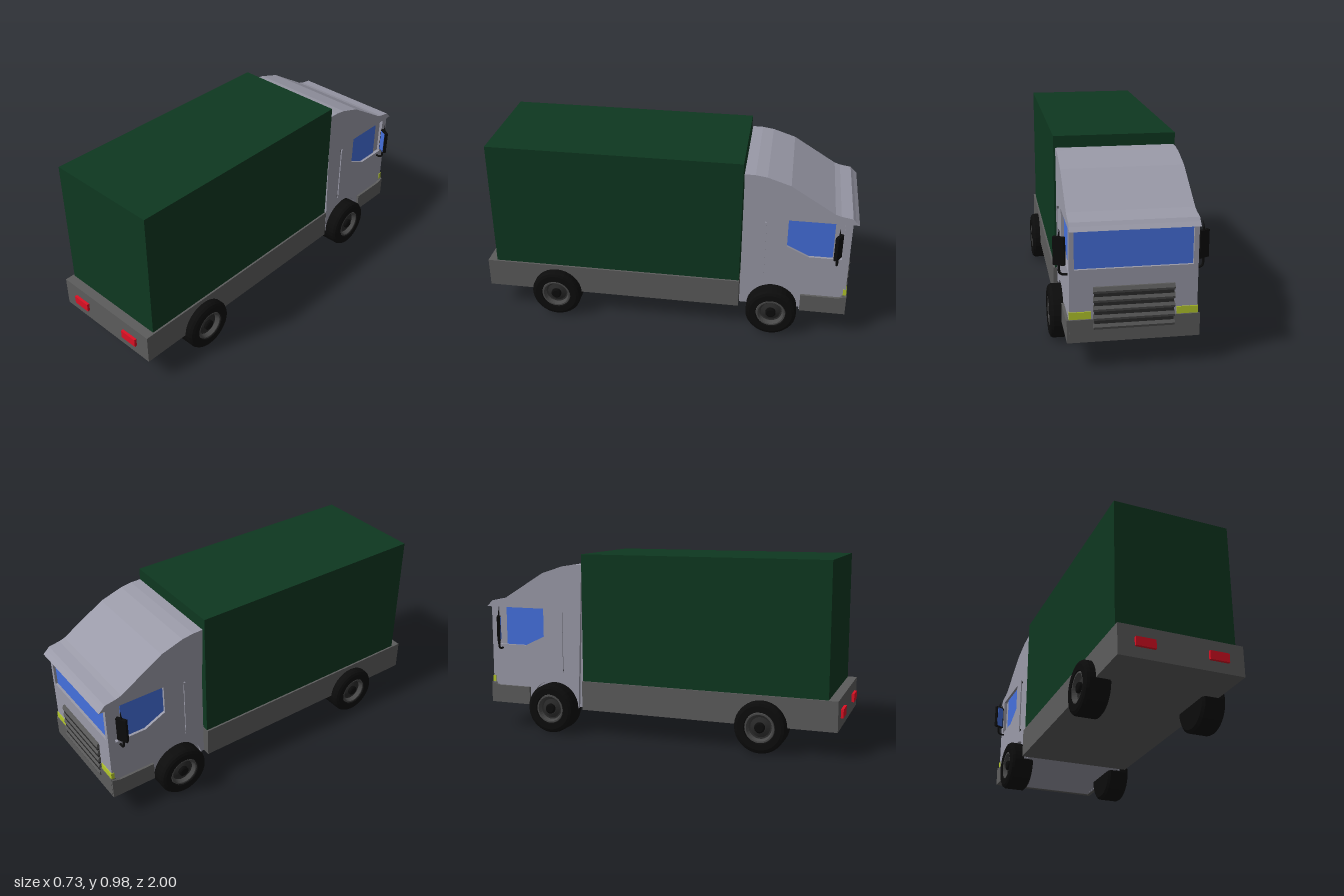
import * as THREE from 'three';

const paint = (color) => new THREE.MeshStandardMaterial({ color });
const MAT = {
  cab: paint(0x9a9aa8), frame: paint(0x5c5c5c), cargo: paint(0x0e3820), glass: paint(0x4570dd),
  red: paint(0xdd1024), lamp: paint(0xb4c82c), black: paint(0x0c0c0c), rim: paint(0x484848),
  dark: paint(0x2a2a2a),
};
for (const m of Object.values(MAT)) m.flatShading = true;

function add(parent, name, geometry, material) {
  const mesh = new THREE.Mesh(geometry, material);
  mesh.name = name;
  parent.add(mesh);
  return mesh;
}

// Box given by its limits on each axis
function box(parent, name, [x0, x1], [y0, y1], [z0, z1], material) {
  const g = new THREE.BoxGeometry(x1 - x0, y1 - y0, z1 - z0);
  g.translate((x0 + x1) / 2, (y0 + y1) / 2, (z0 + z1) / 2);
  return add(parent, name, g, material);
}

// Side-view shape (forward, up), extruded across the truck from x0 to x1
function slab(parent, name, shape, x0, x1, material) {
  const g = new THREE.ExtrudeGeometry(shape, { depth: x1 - x0, bevelEnabled: false, curveSegments: 20 });
  g.rotateY(Math.PI / 2).translate(x0, 0, 0);
  return add(parent, name, g, material);
}

const polygon = (pts) => new THREE.Shape(pts.map(([a, b]) => new THREE.Vector2(a, b)));

const ROOF = [[0.405, 0.925], [0.46, 0.924], [0.52, 0.915], [0.64, 0.876], [0.76, 0.802],
  [0.87, 0.734], [0.9, 0.724], [0.96, 0.714], [0.975, 0.698], [0.995, 0.68]];
const FRONT_WHEEL = 0.58, REAR_WHEEL = -0.6, WHEEL_Y = 0.137;

// Cab outline with the front wall at the given position
function cabShape(front, arch) {
  const s = new THREE.Shape();
  s.moveTo(0.405, 0.14);
  if (arch) s.absarc(FRONT_WHEEL, WHEEL_Y, 0.146, Math.PI, 0, true);
  s.lineTo(front, 0.14);
  s.lineTo(front, 0.68);
  [...ROOF].reverse().forEach(([f, y]) => s.lineTo(f, y));
  s.closePath();
  return s;
}

function makeCab() {
  const cab = new THREE.Group();
  cab.name = 'cab';
  slab(cab, 'cabCore', cabShape(0.945, false), -0.28, 0.28, MAT.cab);

  // Front wall around the recessed windscreen
  const front = polygon([[-0.28, 0.14], [0.28, 0.14], [0.28, 0.68], [-0.28, 0.68]]);
  front.holes.push(polygon([[-0.275, 0.49], [-0.275, 0.672], [0.275, 0.672], [0.275, 0.49]]));
  const wall = new THREE.ExtrudeGeometry(front, { depth: 0.019, bevelEnabled: false });
  add(cab, 'frontPanel', wall.translate(0, 0, -0.963), MAT.cab);
  box(cab, 'windscreen', [-0.277, 0.277], [0.488, 0.674], [-0.95, -0.944], MAT.glass);

  for (const s of [-1, 1]) {
    const span = (a, b) => (s > 0 ? [a, b] : [-b, -a]);

    // Side wall with wheel arch and window opening
    const side = cabShape(0.963, true);
    side.holes.push(polygon([[0.64, 0.68], [0.925, 0.68], [0.925, 0.47], [0.755, 0.47], [0.64, 0.525]]));
    slab(cab, 'sidePanel', side, ...span(0.28, 0.298), MAT.cab);
    const pane = polygon([[0.64, 0.68], [0.878, 0.68], [0.878, 0.47], [0.755, 0.47], [0.64, 0.525]]);
    slab(cab, 'sideWindow', pane, ...span(0.279, 0.284), MAT.glass);

    // Upright grab rail on two short stubs
    box(cab, 'grabRail', span(0.303, 0.309), [0.335, 0.665], [-0.53, -0.52], MAT.cab);
    for (const y of [0.345, 0.655]) {
      box(cab, 'railMount', span(0.29, 0.304), [y - 0.005, y + 0.005], [-0.529, -0.521], MAT.dark);
    }

    // Bumper ends and headlamps
    const end = polygon([[0.73, 0.138], [0.97, 0.138], [0.97, 0.25], [0.925, 0.236], [0.73, 0.236]]);
    slab(cab, 'bumperEnd', end, ...span(0.29, 0.311), MAT.frame);
    box(cab, 'headlamp', span(0.2, 0.301), [0.252, 0.287], [-0.968, -0.95], MAT.lamp);
  }
  box(cab, 'bumper', [-0.3, 0.3], [0.138, 0.25], [-0.971, -0.945], MAT.frame);

  // Grille backing and slats
  box(cab, 'grille', [-0.185, 0.185], [0.205, 0.4], [-0.973, -0.955], MAT.dark);
  for (let i = 0; i < 5; i++) {
    const y = 0.2 + i * 0.044;
    const slat = polygon([[0.955, y], [0.975, y], [0.979, y + 0.012], [0.972, y + 0.03], [0.955, y + 0.03]]);
    slab(cab, 'grilleSlat', slat, -0.19, 0.19, MAT.frame);
  }
  return cab;
}

function makeMirror(s) {
  const mirror = new THREE.Group();
  mirror.name = s > 0 ? 'leftMirror' : 'rightMirror';
  const head = new THREE.Group();
  head.name = 'mirrorHead';
  box(head, 'mirrorCase', [-0.028, 0.028], [-0.067, 0.067], [-0.009, 0.009], MAT.black);
  box(head, 'mirrorGlass', [-0.021, 0.021], [-0.061, 0.061], [0.007, 0.011], MAT.glass);
  head.position.set(s * 0.335, 0.564, -0.9);
  head.rotation.y = -s * 0.5;
  mirror.add(head);

  // Bent lower arm and thin upper spike
  const arm = new THREE.CatmullRomCurve3([[0.29, 0.45], [0.318, 0.45], [0.333, 0.459], [0.336, 0.475], [0.336, 0.51]]
    .map(([x, y]) => new THREE.Vector3(s * x, y, -0.9)));
  add(mirror, 'mirrorArm', new THREE.TubeGeometry(arm, 14, 0.006, 8), MAT.black);
  const spike = add(mirror, 'mirrorSpike', new THREE.ConeGeometry(0.006, 0.052, 6), MAT.black);
  spike.position.set(s * 0.334, 0.65, -0.9);
  spike.rotation.z = s * 0.08;
  return mirror;
}

// Wheel turned about its axle; profiles are [radius, outward offset]
function makeWheel(name) {
  const wheel = new THREE.Group();
  wheel.name = name;
  const turn = (part, pts, material) =>
    add(wheel, part, new THREE.LatheGeometry(pts.map(([r, y]) => new THREE.Vector2(r, y)), 32)
      .rotateZ(-Math.PI / 2), material);
  turn('tyre', [[0, -0.064], [0.12, -0.064], [0.135, -0.052], [0.135, 0.046], [0.128, 0.058],
    [0.114, 0.064], [0.082, 0.064], [0.078, 0.04]], MAT.black);
  turn('rim', [[0.08, 0.048], [0.077, 0.06], [0.069, 0.06], [0.06, 0.038]], MAT.rim);
  turn('rimDish', [[0.061, 0.038], [0.052, 0.036], [0.03, 0.044], [0, 0.044]], MAT.dark);
  turn('hub', [[0.027, 0.04], [0.027, 0.056], [0.02, 0.061], [0, 0.061]], MAT.black);
  return wheel;
}

export function createModel() {
  const truck = new THREE.Group();
  truck.name = 'boxTruck';

  box(truck, 'chassis', [-0.317, 0.317], [0.136, 0.294], [-0.402, 0.986], MAT.frame);
  box(truck, 'cargoBox', [-0.307, 0.307], [0.29, 0.983], [-0.4, 0.937], MAT.cargo);
  for (const s of [-1, 1]) {
    const x = s * 0.184;
    box(truck, 'tailLight', [x - 0.05, x + 0.05], [0.191, 0.236], [0.98, 1], MAT.red);
  }

  truck.add(makeCab(), makeMirror(1), makeMirror(-1));

  // Mirrored wheel pairs
  for (const [label, forward] of [['front', FRONT_WHEEL], ['rear', REAR_WHEEL]]) {
    for (const s of [-1, 1]) {
      const wheel = makeWheel(label + 'Wheel');
      wheel.position.set(s * 0.299, WHEEL_Y - 0.002, -forward);
      if (s < 0) wheel.rotation.y = Math.PI;
      truck.add(wheel);
    }
  }
  return truck;
}
